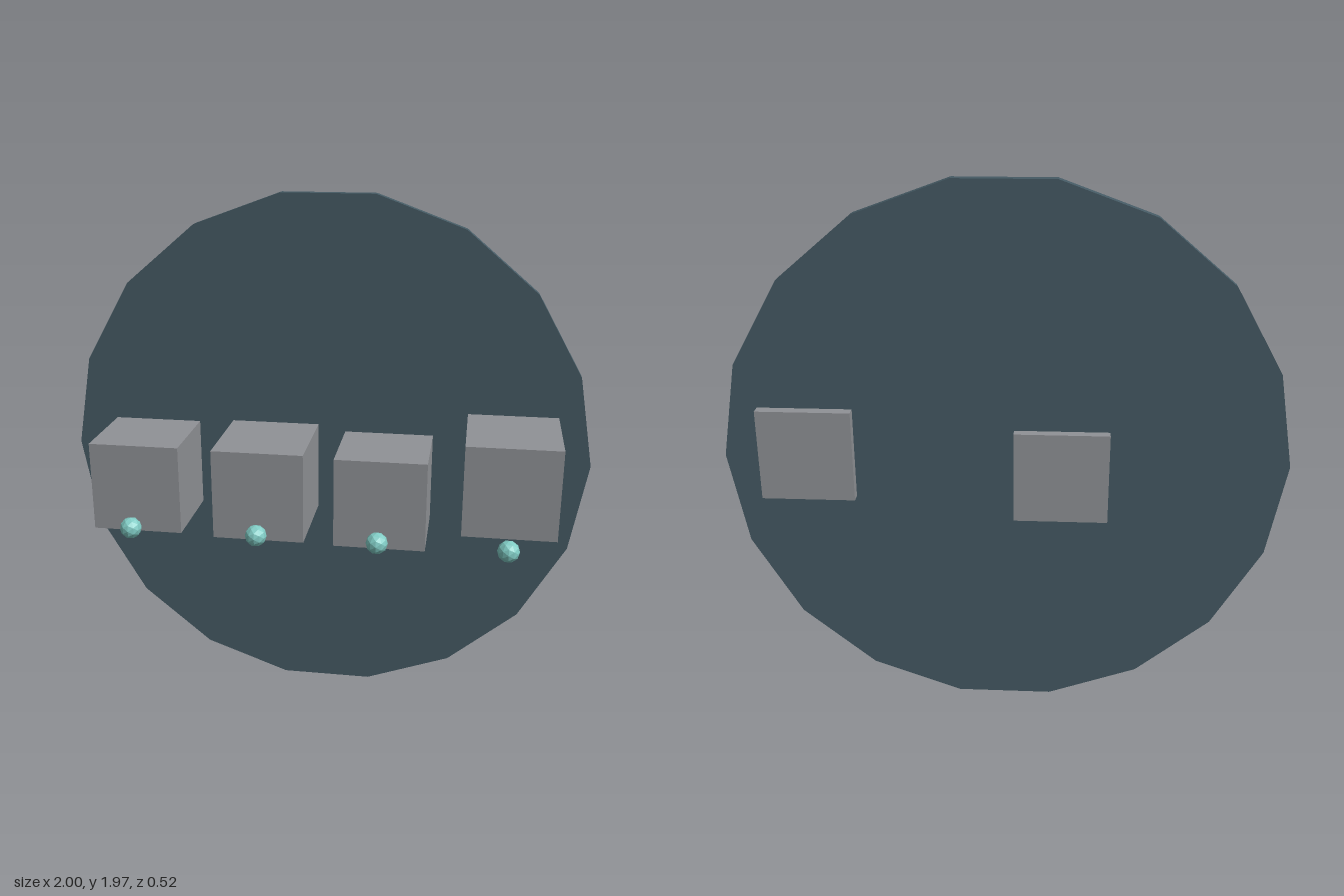
import * as THREE from 'three';

const mat = (color) => new THREE.MeshStandardMaterial({ color, flatShading: true });

function addMesh(parent, name, geometry, material, x, y, z) {
  const mesh = new THREE.Mesh(geometry, material);
  mesh.name = name;
  mesh.position.set(x, y, z);
  parent.add(mesh);
  return mesh;
}

export function createModel() {
  const model = new THREE.Group();
  model.name = 'discWithBlocks';
  const slate = mat(0x455a64);
  const grey = mat(0x909296);
  const teal = mat(0x80cbc4);

  // Upright 18-sided disc with a corner on each side
  const disc = new THREE.CylinderGeometry(1, 1, 0.036, 18, 1, false, Math.PI / 2);
  disc.rotateX(Math.PI / 2);
  addMesh(model, 'disc', disc, slate, 0, 0.985, -0.203);

  // Row of blocks set in the disc, each with a bead in front
  const size = 0.336;
  const bead = new THREE.IcosahedronGeometry(0.04, 1);
  const blocks = [
    { x: -0.672, y: 0.924, front: 0.143, back: -0.2 },
    { x: -0.202, y: 0.934, front: 0.182, back: -0.255 },
    { x: 0.238, y: 0.91, front: 0.139, back: -0.2 },
    { x: 0.702, y: 1.002, front: 0.191, back: -0.26 },
  ];
  blocks.forEach(({ x, y, front, back }, i) => {
    const box = new THREE.BoxGeometry(size, size, front - back);
    addMesh(model, `block${i + 1}`, box, grey, x, y, (front + back) / 2);
    addMesh(model, `bead${i + 1}`, bead, teal, x, 0.8, 0.22);
  });

  return model;
}
